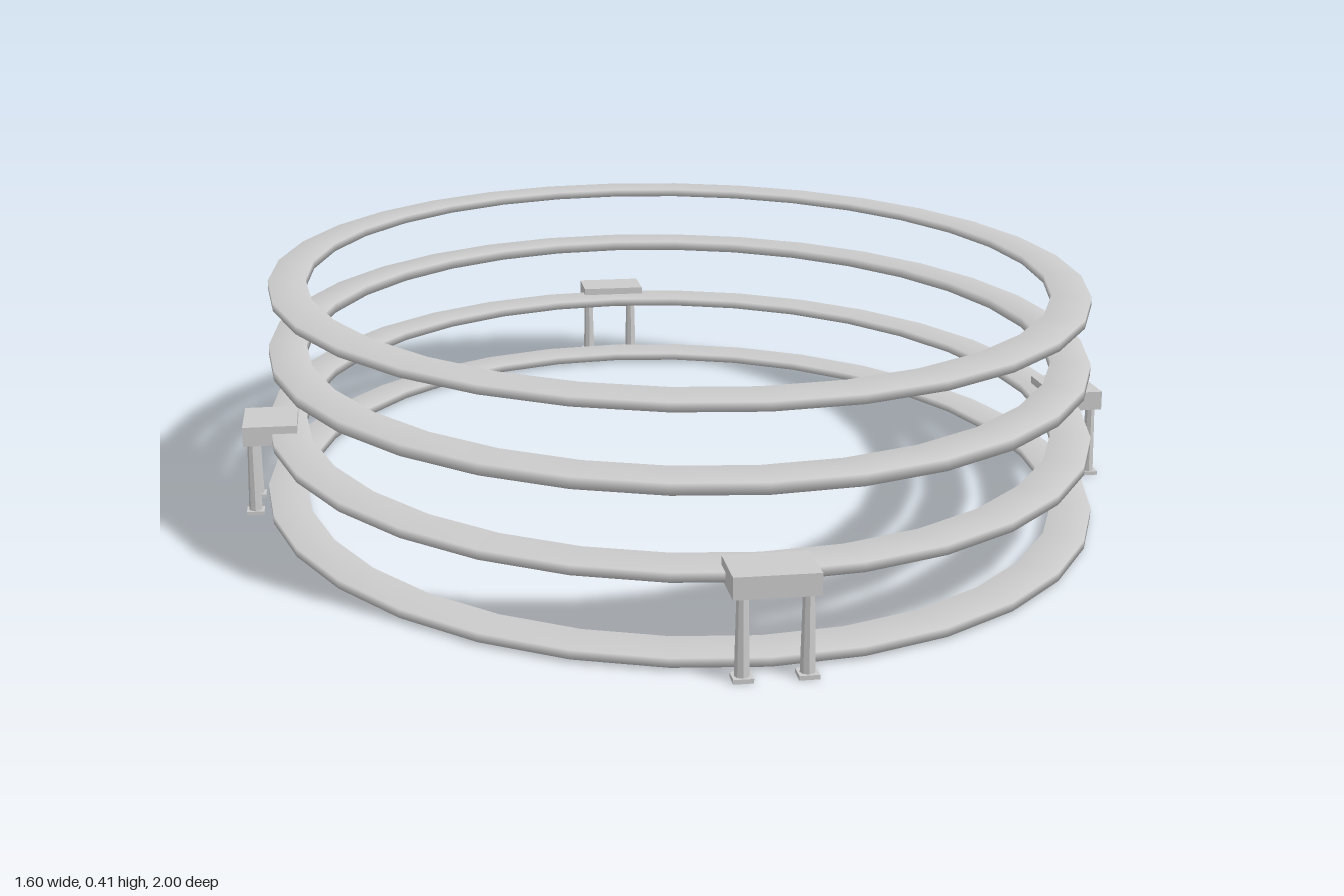
import * as THREE from 'three';
import { mergeVertices } from 'three/addons/utils/BufferGeometryUtils.js';

const grey = new THREE.MeshStandardMaterial({ color: 0xcccccc });
const greyFlat = new THREE.MeshStandardMaterial({ color: 0xcccccc, flatShading: true });

// Flat oval band with a rectangular section and welded, soft normals
function ovalRing(outer, y0, y1) {
  const inner = outer * 0.909;
  const section = [[inner, y0], [outer, y0], [outer, y1], [inner, y1], [inner, y0]]
    .map(([r, y]) => new THREE.Vector2(r, y));
  let geo = new THREE.LatheGeometry(section, 32);
  geo.deleteAttribute('uv');
  geo.deleteAttribute('normal');
  geo = mergeVertices(geo, 1e-4);
  geo.scale(0.797, 1, 1);
  geo.computeVertexNormals();
  return new THREE.Mesh(geo, grey);
}

// Small platform whose outer edge lies at local z = 0, with two legs there
function platform() {
  const group = new THREE.Group();
  const add = (name, geo, x, y, z) => {
    const mesh = new THREE.Mesh(geo, greyFlat);
    mesh.name = name;
    mesh.position.set(x, y, z);
    group.add(mesh);
  };
  add('platformTop', new THREE.BoxGeometry(0.132, 0.035, 0.096), 0, 0.1475, -0.048);
  for (const x of [-0.049, 0.049]) {
    add('leg', new THREE.CylinderGeometry(0.009, 0.012, 0.13, 8), x, 0.068, -0.016);
    add('foot', new THREE.BoxGeometry(0.031, 0.007, 0.031), x, 0.0035, -0.016);
  }
  return group;
}

export function createModel() {
  const model = new THREE.Group();

  // Four stacked rings, shrinking slightly upwards
  const rings = [
    ['bottomRing', 0.951, 0.005, 0.02],
    ['lowerRing', 0.943, 0.135, 0.151],
    ['upperRing', 0.935, 0.266, 0.285],
    ['topRing', 0.93, 0.39, 0.405],
  ];
  for (const [name, outer, y0, y1] of rings) {
    const ring = ovalRing(outer, y0, y1);
    ring.name = name;
    ring.position.set(-0.004, 0, 0.003);
    model.add(ring);
  }

  // Platforms on the four sides, legs facing outwards
  const platforms = [
    ['frontPlatform', -0.004, 1, 0],
    ['leftPlatform', 0.798, 0.058, Math.PI / 2],
    ['backPlatform', -0.004, -1, Math.PI],
    ['rightPlatform', -0.798, 0.058, -Math.PI / 2],
  ];
  for (const [name, x, z, turn] of platforms) {
    const p = platform();
    p.name = name;
    p.position.set(x, 0, z);
    p.rotation.y = turn;
    model.add(p);
  }
  return model;
}
